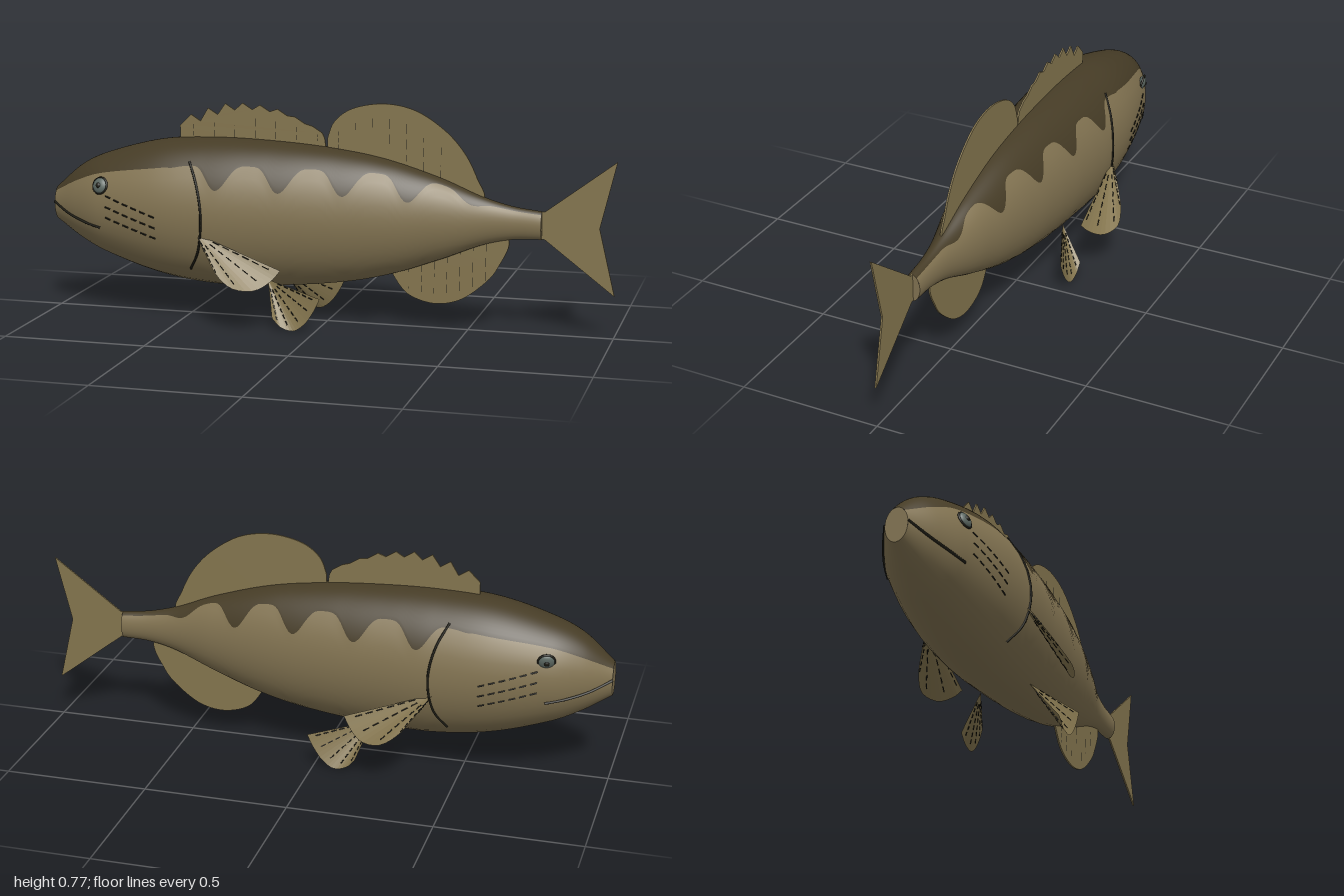
import * as THREE from 'three';

const mat = (name, color, side = THREE.FrontSide) => {
  const m = new THREE.MeshStandardMaterial({ color, side });
  m.name = name;
  return m;
};

// Body stations: x, top y, bottom y, half width, height of the dark back's edge
const STATIONS = [
  [-1, 0.44, 0.32, 0.04, 0.425], [-0.9, 0.525, 0.255, 0.1, 0.475], [-0.8, 0.572, 0.207, 0.143, 0.51],
  [-0.6, 0.625, 0.145, 0.181, 0.54], [-0.4, 0.639, 0.118, 0.187, 0.56], [-0.2, 0.635, 0.123, 0.176, 0.56],
  [0, 0.62, 0.14, 0.157, 0.557], [0.2, 0.589, 0.177, 0.128, 0.548], [0.4, 0.53, 0.245, 0.085, 0.515],
  [0.55, 0.47, 0.305, 0.046, 0.455], [0.65, 0.443, 0.328, 0.032, 0.432], [0.75, 0.43, 0.333, 0.028, 0.42],
];

// Smooth interpolation of one station column along x
function along(x, col) {
  const S = STATIONS, n = S.length;
  let i = 0;
  while (i < n - 2 && x > S[i + 1][0]) i++;
  const slope = (k) => {
    const a = S[Math.max(k - 1, 0)], b = S[Math.min(k + 1, n - 1)];
    return (b[col] - a[col]) / (b[0] - a[0]);
  };
  const d = S[i + 1][0] - S[i][0], t = (x - S[i][0]) / d, u = 1 - t;
  return S[i][col] * (1 + 2 * t) * u * u + S[i + 1][col] * t * t * (3 - 2 * t)
    + d * slope(i) * t * u * u - d * slope(i + 1) * t * t * u;
}

function section(x) {
  const top = along(x, 1), bottom = along(x, 2);
  return { cy: (top + bottom) / 2, h: (top - bottom) / 2, w: along(x, 3) };
}

// Point on the flank at a given x and y
function flank(x, y, side, lift = 0) {
  const { cy, h, w } = section(x);
  const s = Math.min(0.99, Math.max(-0.99, (y - cy) / h));
  return new THREE.Vector3(x, y, side * (w * Math.sqrt(1 - s * s) + lift));
}

// Scalloped lower edge of the dark back
function backEdge(x) {
  const fade = THREE.MathUtils.smoothstep(x, -0.55, -0.42) * (1 - THREE.MathUtils.smoothstep(x, 0.25, 0.65));
  return along(x, 4) - 0.083 * fade * Math.abs(Math.cos(Math.PI * (x + 0.355) / 0.22)) ** 4;
}

// Elliptical loft whose rings are split at the back edge; two material groups
function bodyGeometry() {
  const N = 180, M = 24, R = 2 * M, pos = [], dark = [], light = [];
  for (let i = 0; i <= N; i++) {
    const x = -1 + 1.75 * i / N, { cy, h, w } = section(x);
    const a = Math.asin(THREE.MathUtils.clamp((backEdge(x) - cy) / h, -0.98, 0.98));
    for (let j = 0; j < R; j++) {
      const t = j < M ? a + (Math.PI - 2 * a) * j / M : Math.PI - a + (Math.PI + 2 * a) * (j - M) / M;
      pos.push(x, cy + h * Math.sin(t), w * Math.cos(t));
    }
  }
  for (let i = 0; i < N; i++) for (let j = 0; j < R; j++) {
    const k = (j + 1) % R, a = i * R + j, b = a + R, c = i * R + k, d = c + R;
    (j < M ? dark : light).push(a, b, c, b, d, c);
  }
  const g = new THREE.BufferGeometry();
  g.setAttribute('position', new THREE.Float32BufferAttribute(pos, 3));
  g.setIndex([...dark, ...light]);
  g.addGroup(0, dark.length, 0);
  g.addGroup(dark.length, light.length, 1);
  g.computeVertexNormals();
  return g;
}

export function createModel() {
  const root = new THREE.Group();
  const skin = mat('olive skin', 0x837452), back = mat('dark back', 0x463c26);
  const finMat = mat('fin', 0x85764f, THREE.DoubleSide), line = mat('dark line', 0x1d1c14);
  const eyeMat = mat('eye grey', 0x5d6963);

  const add = (name, geometry, material, parent = root) => {
    const m = new THREE.Mesh(geometry, material);
    m.name = name;
    parent.add(m);
    return m;
  };
  const V = (p) => new THREE.Vector3(...p);
  const tube = (name, pts, r) =>
    add(name, new THREE.TubeGeometry(new THREE.CatmullRomCurve3(pts), 24, r, 6), line);
  // Dashed fin ray between two points
  const ray = (name, a, b, dashes = 4, r = 0.0025) => {
    for (let i = 0; i < dashes; i++) {
      const p = a.clone().lerp(b, i / dashes), q = a.clone().lerp(b, (i + 0.65) / dashes);
      add(name, new THREE.TubeGeometry(new THREE.LineCurve3(p, q), 1, r, 5), line);
    }
  };

  // Body with flat ends
  add('body', bodyGeometry(), [back, skin]);
  for (const [x, turn, name] of [[-1, -1, 'snout end'], [0.75, 1, 'tail end']]) {
    const { cy, h, w } = section(x);
    const cap = add(name, new THREE.CircleGeometry(1, 32), skin);
    cap.scale.set(w, h, 1);
    cap.rotation.y = turn * Math.PI / 2;
    cap.position.set(x, cy, 0);
  }

  // Flat fins on the centre line
  const flatFin = (name, shape) =>
    add(name, new THREE.ExtrudeGeometry(shape, { depth: 0.006, bevelEnabled: false, curveSegments: 40 })
      .translate(0, 0, -0.003), finMat);
  const shapeOf = (pts) => new THREE.Shape(pts.map((p) => new THREE.Vector2(...p)));
  const curved = (start, pts) => {
    const s = new THREE.Shape();
    s.moveTo(...start);
    s.lineTo(...pts[0]);
    s.splineThru(pts.slice(1).map((p) => new THREE.Vector2(...p)));
    return s;
  };

  // Spiny front dorsal fin: tips joined by shallow notches
  const spiny = [[-0.535, 0.58], [-0.535, 0.675]];
  [0.715, 0.74, 0.758, 0.762, 0.757, 0.745, 0.72, 0.69].forEach((y, i) => {
    const x = -0.495 + 0.063 * i;
    spiny.push([x, y], [x + 0.035, y - 0.022]);
  });
  flatFin('spinyDorsalFin', shapeOf([...spiny, [-0.01, 0.65], [0, 0.58]]));
  flatFin('softDorsalFin', curved([0, 0.57], [[0, 0.65], [0.025, 0.71], [0.09, 0.757], [0.2, 0.777],
    [0.31, 0.757], [0.41, 0.695], [0.48, 0.62], [0.525, 0.535], [0.545, 0.46], [0.4, 0.45], [0.15, 0.5]]));
  flatFin('analFin', curved([0.23, 0.22], [[0.23, 0.19], [0.285, 0.12], [0.375, 0.09], [0.465, 0.105],
    [0.545, 0.16], [0.6, 0.225], [0.635, 0.33], [0.5, 0.36], [0.35, 0.3]]));
  flatFin('tailFin', shapeOf([[0.74, 0.43], [0.76, 0.43], [1, 0.61], [0.945, 0.38], [1, 0.15], [0.76, 0.334], [0.74, 0.334]]));

  // Rays of the centre fins
  for (let i = 0; i < 7; i++) {
    const x = -0.485 + 0.075 * i, peak = 0.735 - 0.9 * (x + 0.29) ** 2;
    ray('spinyDorsalRay', V([x, 0.64, 0]), V([x, peak - 0.01, 0]), 2, 0.0035);
    const u = 0.04 + 0.06 * i;
    ray('softDorsalRay', V([u, along(u, 1), 0]), V([u, 0.745 - 2.4 * (u - 0.2) ** 2, 0]), 3, 0.0035);
    const v = 0.29 + 0.045 * i;
    ray('analRay', V([v, along(v, 2), 0]), V([v, 0.11 + 1.8 * (v - 0.39) ** 2, 0]), 3, 0.0035);
    const k = (i - 3) / 3;
    ray('tailRay', V([0.76, 0.382 + 0.03 * k, 0]), V([0.94 + 0.035 * Math.abs(k), 0.382 + 0.19 * k, 0]), 7, 0.003);
  }

  // Paired fan fins: one root point and a curved outer edge
  const fan = (name, base, edge, side) => {
    const flip = (p) => new THREE.Vector3(p[0], p[1], p[2] * side);
    const o = flip(base), e = new THREE.CatmullRomCurve3(edge.map(flip)).getPoints(20);
    const pos = [];
    for (let i = 0; i < 20; i++) pos.push(...o, ...e[i], ...e[i + 1]);
    const g = new THREE.BufferGeometry();
    g.setAttribute('position', new THREE.Float32BufferAttribute(pos, 3));
    g.computeVertexNormals();
    add(name, g, finMat);
    for (let i = 3; i < 20; i += 4) ray(name + 'Ray', o.clone().lerp(e[i], 0.2), o.clone().lerp(e[i], 0.93), 6, 0.002);
  };

  for (const side of [1, -1]) {
    const label = side > 0 ? 'left' : 'right';
    fan(label + 'PectoralFin', [-0.42, 0.325, 0.175], [[-0.41, 0.315, 0.19], [-0.37, 0.26, 0.225], [-0.32, 0.2, 0.26],
      [-0.26, 0.162, 0.275], [-0.19, 0.155, 0.25], [-0.14, 0.185, 0.215], [-0.115, 0.217, 0.195]], side);
    fan(label + 'PelvicFin', [-0.19, 0.16, 0.09], [[-0.15, 0.045, 0.18], [-0.12, 0.015, 0.18], [-0.075, 0.004, 0.18],
      [-0.035, 0.03, 0.18], [0, 0.08, 0.18], [0.02, 0.122, 0.18]], side);

    // Eye
    const eye = new THREE.Group();
    eye.name = label + 'Eye';
    eye.position.copy(flank(-0.79, 0.47, side));
    eye.rotation.set(-side * 0.3, side > 0 ? -0.25 : Math.PI + 0.25, 0);
    if (side < 0) eye.rotation.x = -0.3;
    root.add(eye);
    add('eyeball', new THREE.SphereGeometry(0.028, 24, 16), eyeMat, eye).scale.z = 0.5;
    add('eyeRim', new THREE.TorusGeometry(0.028, 0.004, 8, 28), line, eye);
    add('pupil', new THREE.SphereGeometry(0.012, 16, 12), line, eye).position.z = 0.006;

    // Mouth, gill cover and cheek lines
    const on = (pts, lift = 0) => pts.map(([x, y]) => flank(x, y, side, lift));
    tube(label + 'Mouth', on([[-1, 0.388], [-0.93, 0.355], [-0.86, 0.334], [-0.79, 0.32]]), 0.005);
    tube(label + 'GillEdge', on([[-0.46, 0.57], [-0.425, 0.5], [-0.405, 0.42], [-0.403, 0.35], [-0.42, 0.26], [-0.46, 0.19]], 0.001), 0.004);
    for (let i = 0; i < 3; i++) for (let k = 0; k < 6; k++) {
      const at = (t) => flank(-0.765 + 0.205 * t, 0.437 - 0.038 * i - 0.065 * t, side);
      ray(label + 'CheekLine', at(k / 6), at((k + 1) / 6), 1, 0.003);
    }
  }
  return root;
}
